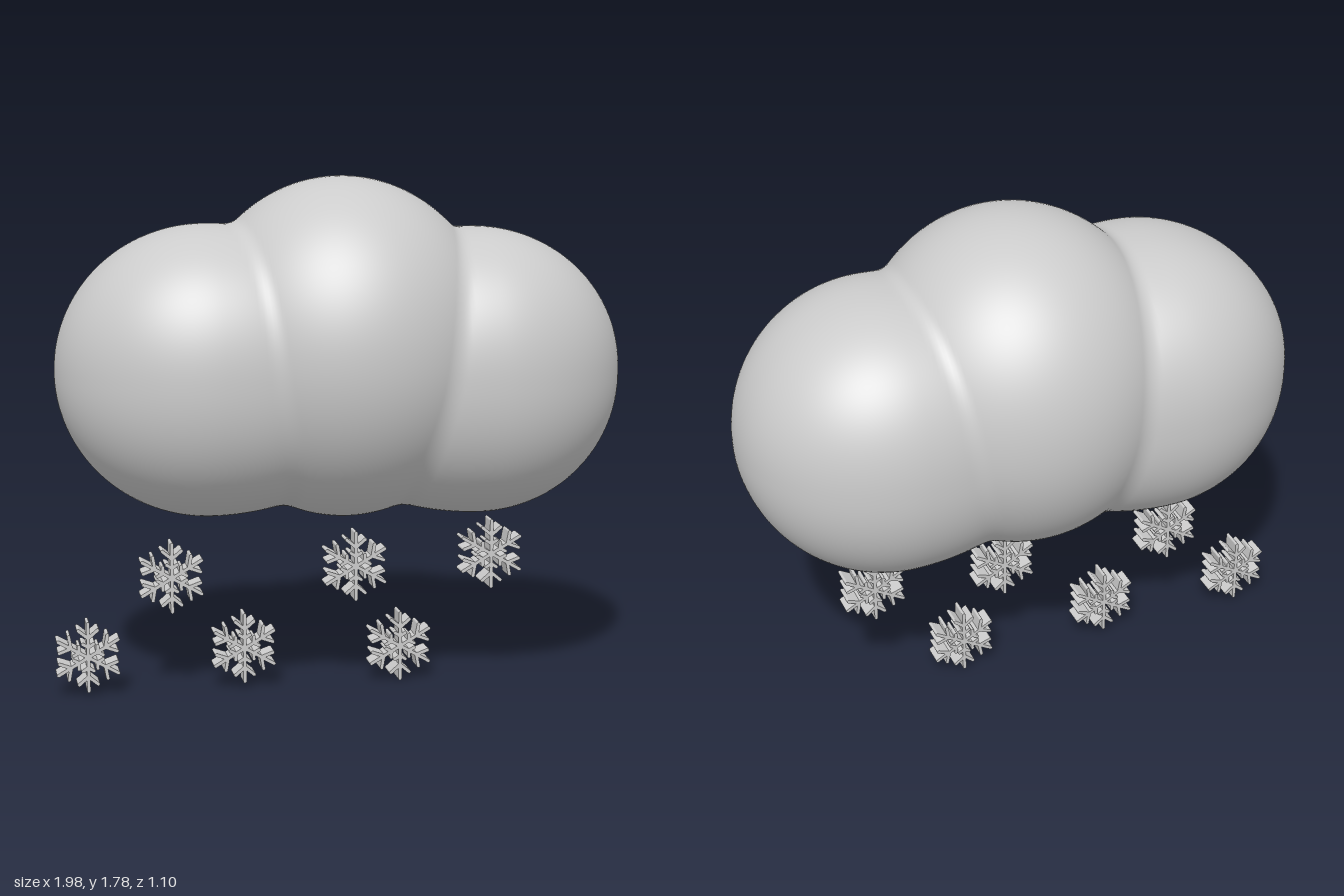
import * as THREE from 'three';
import { mergeGeometries } from 'three/addons/utils/BufferGeometryUtils.js';

// Cloud lobes: centre, radii towards -x and +x, y and z radii, cross-section roundness
const LOBES = [
  { x: -0.46, y: 1.13, left: 0.52, right: 0.7, ry: 0.5, rz: 0.485, p: 2.2 },
  { x: 0.01, y: 1.2, left: 0.54, right: 0.54, ry: 0.588, rz: 0.55, p: 2.05 },
  { x: 0.48, y: 1.11, left: 0.7, right: 0.51, ry: 0.5, rz: 0.475, p: 2.2 },
];

function lobeField(l, v) {
  const dx = v.x - l.x;
  const a = dx / (dx < 0 ? l.left : l.right);
  const b = Math.abs(v.y - l.y) / l.ry, c = Math.abs(v.z) / l.rz;
  const yz = Math.pow(Math.pow(b, l.p) + Math.pow(c, l.p), 1 / l.p);
  return (Math.hypot(a, yz) - 1) * 0.5;
}

// Smooth union keeps the seams between lobes soft
function smoothMin(a, b, k) {
  const h = Math.max(k - Math.abs(a - b), 0) / k;
  return Math.min(a, b) - h * h * k * 0.25;
}
const field = (v) => LOBES.map((l) => lobeField(l, v)).reduce((a, b) => smoothMin(a, b, 0.025));

// A sphere with its poles on x, each vertex pushed out to the cloud surface
function cloudGeometry() {
  const geo = new THREE.SphereGeometry(1, 128, 160).rotateZ(Math.PI / 2);
  const pos = geo.attributes.position, nor = geo.attributes.normal;
  const origin = new THREE.Vector3(0.01, 1.14, 0);
  const dir = new THREE.Vector3(), v = new THREE.Vector3(), n = new THREE.Vector3();
  for (let i = 0; i < pos.count; i++) {
    dir.fromBufferAttribute(pos, i).normalize();
    let near = 0.1, far = 1.4;
    for (let s = 0; s < 26; s++) {
      const mid = (near + far) / 2;
      v.copy(origin).addScaledVector(dir, mid);
      if (field(v) < 0) near = mid; else far = mid;
    }
    pos.setXYZ(i, v.x, v.y, v.z);
    // Normal from the slope of the field
    for (const axis of ['x', 'y', 'z']) {
      const e = 0.002, keep = v[axis];
      v[axis] = keep + e;
      const up = field(v);
      v[axis] = keep - e;
      n[axis] = up - field(v);
      v[axis] = keep;
    }
    n.normalize();
    nor.setXYZ(i, n.x, n.y, n.z);
  }
  return geo;
}

// Round-ended bar running along +y from the origin
function bar(length, half, depth) {
  const s = new THREE.Shape();
  s.absarc(0, 0, half, Math.PI, Math.PI * 2, false);
  s.absarc(0, length, half, 0, Math.PI, false);
  return new THREE.ExtrudeGeometry(s, { depth, bevelEnabled: false, curveSegments: 5 })
    .translate(0, 0, -depth / 2);
}

// Six arms, each a stem with two pairs of side branches
function snowflakeGeometry() {
  const depth = 0.076, half = 0.006, parts = [];
  for (let i = 0; i < 6; i++) {
    const arm = [bar(0.119, half, depth)];
    for (const [start, length, angle] of [[0.068, 0.043, 0.87], [0.036, 0.022, 1.0]]) {
      for (const side of [-1, 1]) {
        arm.push(bar(length, half, depth).rotateZ(side * angle).translate(0, start, 0));
      }
    }
    arm.forEach((g) => parts.push(g.rotateZ((i * Math.PI) / 3)));
  }
  return mergeGeometries(parts);
}

export function createModel() {
  const group = new THREE.Group();
  const material = new THREE.MeshStandardMaterial({ color: 0xcccccc });

  const cloud = new THREE.Mesh(cloudGeometry(), material);
  cloud.name = 'cloud';
  group.add(cloud);

  // Falling snowflakes
  const flake = snowflakeGeometry();
  const spots = [[-0.885, 0.143], [-0.592, 0.41], [-0.34, 0.149], [0.056, 0.425], [0.216, 0.13], [0.546, 0.45]];
  spots.forEach(([x, y], i) => {
    const mesh = new THREE.Mesh(flake, material);
    mesh.name = `snowflake${i + 1}`;
    mesh.position.set(x, y, 0);
    group.add(mesh);
  });
  return group;
}
